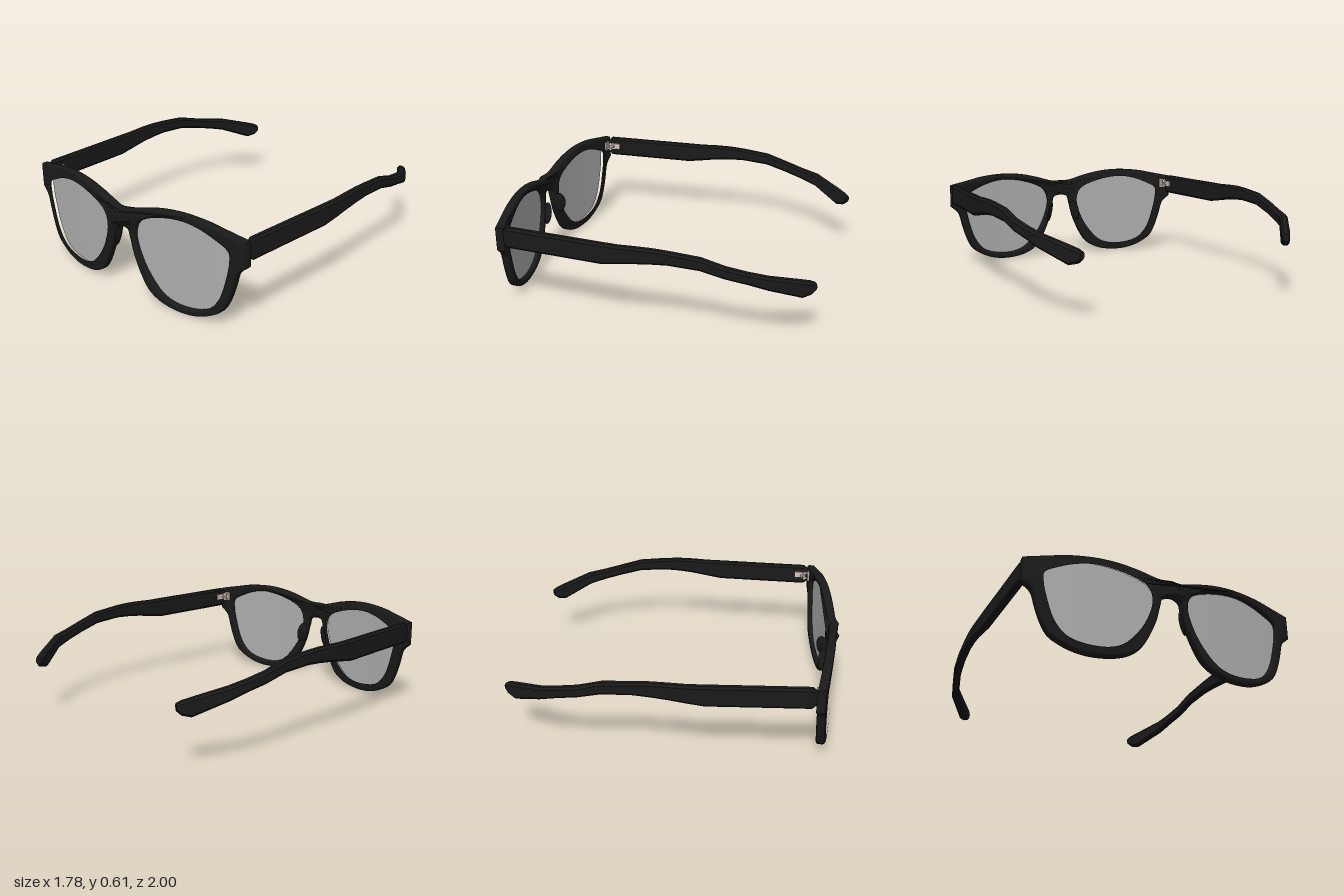
import * as THREE from 'three';
import { toCreasedNormals } from 'three/addons/utils/BufferGeometryUtils.js';
import { ParametricGeometry } from 'three/addons/geometries/ParametricGeometry.js';

const black = new THREE.MeshStandardMaterial({ color: 0x1a1a1a });
const metal = new THREE.MeshStandardMaterial({ color: 0xd8c8bc });
const lensMat = new THREE.MeshStandardMaterial({ color: 0xb0b0b0, side: THREE.DoubleSide });

const vecs = (pts) => pts.map(([x, y]) => new THREE.Vector2(x, y));
const spline = (pts, n) => new THREE.SplineCurve(vecs(pts)).getPoints(n);

// Wrap of the front: depth of the middle surface at a given x
const wrap = (x) => 0.95 - 0.06 * Math.abs(x) - 0.075 * x * x;

// Lens opening, left side
const lensCurve = new THREE.CatmullRomCurve3([
  [0.745, 0.475], [0.665, 0.522], [0.56, 0.56], [0.45, 0.575], [0.28, 0.55], [0.14, 0.487],
  [0.108, 0.40], [0.146, 0.26], [0.22, 0.145], [0.305, 0.07], [0.425, 0.043], [0.60, 0.077],
  [0.68, 0.163], [0.73, 0.307], [0.75, 0.41],
].map(([x, y]) => new THREE.Vector3(x, y, 0)), true);

function add(parent, name, geometry, material) {
  const mesh = new THREE.Mesh(geometry, material);
  mesh.name = name;
  parent.add(mesh);
  return mesh;
}

// Front frame: bevelled outline with two openings, bent along the wrap
function frameGeometry() {
  const top = spline([[0, 0.542], [0.05, 0.543], [0.1, 0.553], [0.2, 0.582], [0.32, 0.606],
    [0.45, 0.615], [0.6, 0.605], [0.72, 0.582], [0.855, 0.555]], 36);
  const bottom = spline([[0.855, 0.405], [0.80, 0.355], [0.775, 0.27], [0.745, 0.18], [0.70, 0.098],
    [0.62, 0.045], [0.53, 0.013], [0.43, 0.003], [0.33, 0.013], [0.25, 0.04], [0.19, 0.085],
    [0.14, 0.165], [0.095, 0.27], [0.07, 0.37], [0.055, 0.425], [0, 0.436]], 56);
  const half = [...top, ...bottom];
  const other = half.slice(1, -1).reverse().map((p) => new THREE.Vector2(-p.x, p.y));
  const shape = new THREE.Shape([...half, ...other]);
  const hole = lensCurve.getPoints(56).slice(0, -1);
  for (const s of [1, -1]) {
    shape.holes.push(new THREE.Path(hole.map((p) => new THREE.Vector2(s * p.x, p.y))));
  }
  const g = new THREE.ExtrudeGeometry(shape, {
    depth: 0.026, bevelEnabled: true, bevelThickness: 0.013, bevelSize: 0.011,
    bevelOffset: -0.011, bevelSegments: 3,
  });
  const p = g.attributes.position;
  for (let i = 0; i < p.count; i++) {
    const x = p.getX(i), y = p.getY(i);
    // The bridge swells forward, most at its lower edge
    const swell = Math.max(0, 1 - Math.abs(x) / 0.075) * (0.025 - 0.12 * (y - 0.43));
    p.setZ(i, p.getZ(i) - 0.013 + wrap(x) + swell);
  }
  return toCreasedNormals(g, 0.7);
}

// Curved lens, filled from its centre out to just inside the rim
function lensGeometry() {
  const c = new THREE.Vector3(0.43, 0.31, 0), p = new THREE.Vector3();
  return new ParametricGeometry((u, v, target) => {
    lensCurve.getPoint(u % 1, p);
    target.lerpVectors(c, p, v * 1.02);
    target.z = wrap(target.x);
  }, 60, 8);
}

// Temple: chamfered section swept backwards through [z, x, bottom, top, half width]
function templeGeometry() {
  const st = [
    [0.825, 0.833, 0.455, 0.535, 0.014], [0.795, 0.834, 0.43, 0.56, 0.022],
    [0.5, 0.848, 0.43, 0.56, 0.022], [0.2, 0.863, 0.43, 0.56, 0.022],
    [0.1, 0.867, 0.446, 0.56, 0.022], [0, 0.869, 0.463, 0.565, 0.022],
    [-0.1, 0.868, 0.475, 0.567, 0.022], [-0.2, 0.865, 0.482, 0.563, 0.022],
    [-0.38, 0.856, 0.473, 0.548, 0.023], [-0.52, 0.845, 0.438, 0.508, 0.024],
    [-0.64, 0.819, 0.41, 0.48, 0.024], [-0.75, 0.793, 0.378, 0.46, 0.024],
    [-0.92, 0.686, 0.305, 0.41, 0.025], [-0.965, 0.656, 0.318, 0.395, 0.024],
    [-0.988, 0.642, 0.343, 0.382, 0.02],
  ];
  const pos = [], idx = [], n = 8;
  st.forEach(([z, x, lo, hi, w], i) => {
    const a = st[Math.max(i - 1, 0)], b = st[Math.min(i + 1, st.length - 1)];
    const tx = b[1] - a[1], tz = b[0] - a[0], len = Math.hypot(tx, tz);
    const h = (hi - lo) / 2, k = Math.min(0.013, h * 0.6), v = w * 0.5;
    const ring = [[w, k - h], [w, h - k], [v, h], [-v, h], [-w, h - k], [-w, k - h], [-v, -h], [v, -h]];
    for (const [q, y] of ring) {
      pos.push(x - (q * tz) / len, (lo + hi) / 2 + y, z + (q * tx) / len);
    }
  });
  const last = (st.length - 1) * n;
  for (let i = 0; i < last; i += n) {
    for (let j = 0; j < n; j++) {
      const a = i + j, b = i + (j + 1) % n;
      idx.push(a, a + n, b + n, a, b + n, b);
    }
  }
  for (let j = 1; j < n - 1; j++) idx.push(0, j, j + 1, last, last + j + 1, last + j);
  const g = new THREE.BufferGeometry();
  g.setAttribute('position', new THREE.Float32BufferAttribute(pos, 3));
  g.setIndex(idx);
  return toCreasedNormals(g, 0.6);
}

// Hinge: plates on frame and temple, joined by stacked knuckles
function buildHinge() {
  const hinge = new THREE.Group();
  hinge.name = 'hinge';
  const box = (name, w, h, d, x, y, z) =>
    add(hinge, name, new THREE.BoxGeometry(w, h, d), metal).position.set(x, y, z);
  box('framePlate', 0.045, 0.06, 0.012, 0.795, 0.5, 0.826);
  box('templePlate', 0.012, 0.04, 0.08, 0.808, 0.5, 0.77);
  for (let i = -1; i <= 1; i++) {
    const y = 0.5 + i * 0.018;
    box('hingeLeaf', 0.014, 0.012, 0.03, 0.793, y, i ? 0.812 : 0.785);
    add(hinge, 'knuckle', new THREE.CylinderGeometry(0.011, 0.011, 0.014, 12), metal)
      .position.set(0.793, y, 0.797);
  }
  add(hinge, 'hingePin', new THREE.CylinderGeometry(0.005, 0.005, 0.066, 8), metal)
    .position.set(0.793, 0.5, 0.797);
  return hinge;
}

// One side: lens, temple, hinge and nose pad
function buildSide(name) {
  const side = new THREE.Group();
  side.name = name;
  add(side, 'lens', lensGeometry(), lensMat);
  add(side, 'temple', templeGeometry(), black);
  side.add(buildHinge());
  const pad = add(side, 'nosePad', new THREE.SphereGeometry(1, 16, 12), black);
  pad.scale.set(0.014, 0.075, 0.042);
  pad.position.set(0.097, 0.32, 0.906);
  pad.rotation.set(0, -0.45, 0.2);
  return side;
}

export function createModel() {
  const model = new THREE.Group();
  model.name = 'glasses';
  add(model, 'frontFrame', frameGeometry(), black);
  const right = buildSide('rightSide');
  right.scale.x = -1;
  model.add(buildSide('leftSide'), right);
  return model;
}
